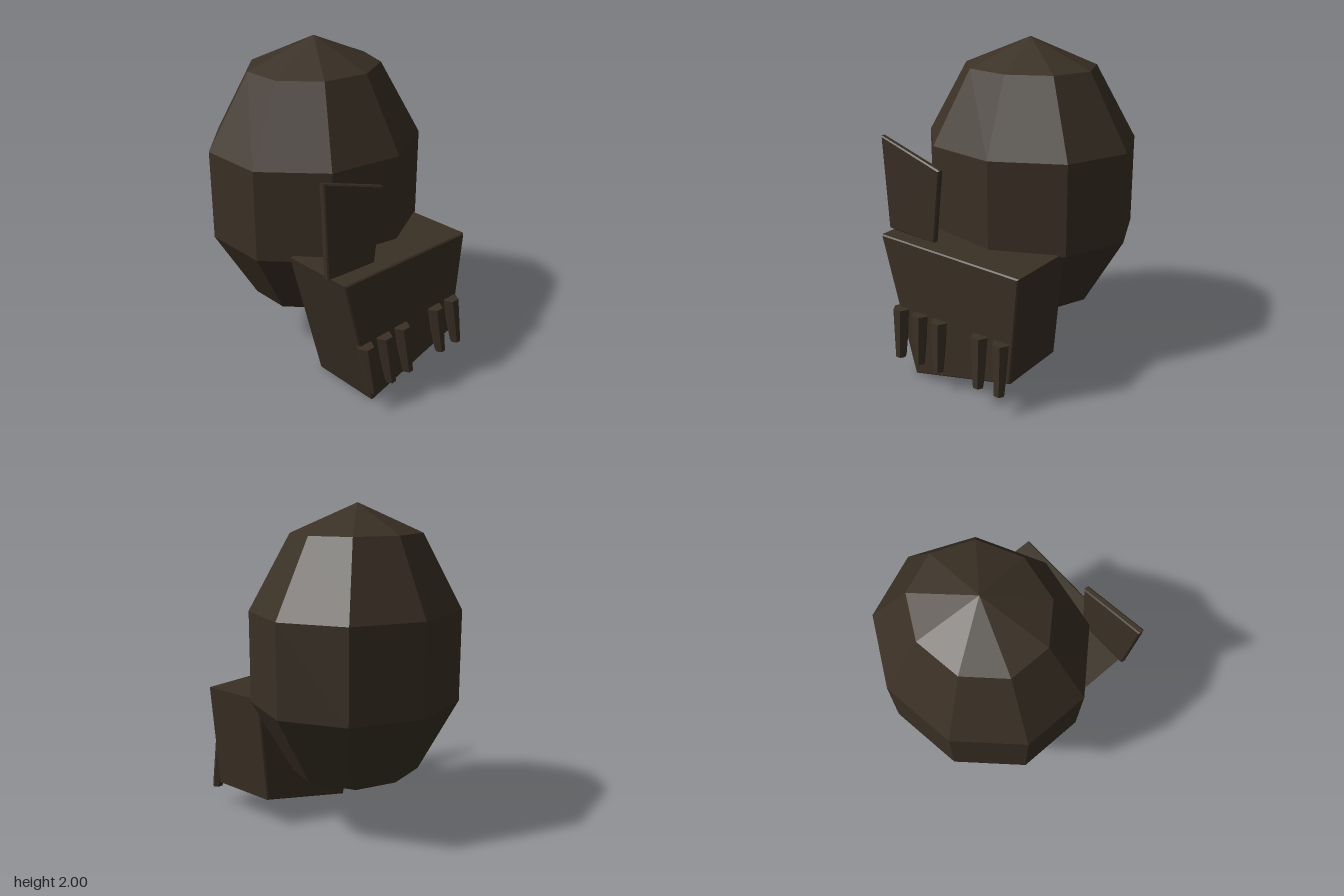
import * as THREE from 'three';

const bone = new THREE.MeshStandardMaterial({ color: 0x3a3025, flatShading: true });
bone.name = 'darkBone';

// Slab with a softly bevelled outline, spanning z0 to z1
function slab(name, points, z0, z1, bevel) {
  const centre = points.reduce((c, p) => [c[0] + p[0] / points.length, c[1] + p[1] / points.length], [0, 0]);
  const inset = points.map(([x, y]) => new THREE.Vector2(
    x - Math.sign(x - centre[0]) * bevel, y - Math.sign(y - centre[1]) * bevel));
  const geometry = new THREE.ExtrudeGeometry(new THREE.Shape(inset), {
    depth: z1 - z0 - 2 * bevel, bevelEnabled: true, bevelSize: bevel, bevelThickness: bevel, bevelSegments: 1,
  });
  geometry.translate(0, 0, z0 + bevel);
  const mesh = new THREE.Mesh(geometry, bone);
  mesh.name = name;
  return mesh;
}

// Tapered tooth leaning forward and slightly sideways
function tooth(x) {
  const geometry = new THREE.CylinderGeometry(0.054, 0.033, 0.3, 6, 1, false, Math.PI / 6);
  const p = geometry.attributes.position;
  for (let i = 0; i < p.count; i++) {
    p.setX(i, p.getX(i) - p.getY(i) * 0.07);
    p.setZ(i, p.getZ(i) - p.getY(i) * 0.16);
  }
  geometry.computeVertexNormals();
  const mesh = new THREE.Mesh(geometry, bone);
  mesh.name = 'tooth';
  mesh.position.set(x, 0.28, 0.694);
  return mesh;
}

export function createModel() {
  const model = new THREE.Group();
  model.name = 'brokenSkull';

  // Faceted cranium, nine sides around
  const cranium = new THREE.Mesh(new THREE.SphereGeometry(1, 9, 5, Math.PI), bone);
  cranium.name = 'cranium';
  cranium.scale.set(0.715, 0.895, 0.635);
  cranium.position.set(-0.02, 1.105, -0.155);
  model.add(cranium);

  // Skewed jaw block
  model.add(slab('jaw', [[-0.31, 0], [0.41, 0.175], [0.47, 0.84], [-0.54, 0.87]], 0.2, 0.66, 0.008));

  // Thin shard standing above the jaw
  model.add(slab('shard', [[-0.57, 0.875], [-0.21, 0.85], [-0.155, 1.31], [-0.6, 1.45]], 0.52, 0.56, 0.008));

  // Teeth, with one gap in the row
  const teeth = new THREE.Group();
  teeth.name = 'teeth';
  for (const x of [-0.38, -0.23, -0.08, 0.22, 0.37]) teeth.add(tooth(x));
  model.add(teeth);

  return model;
}
